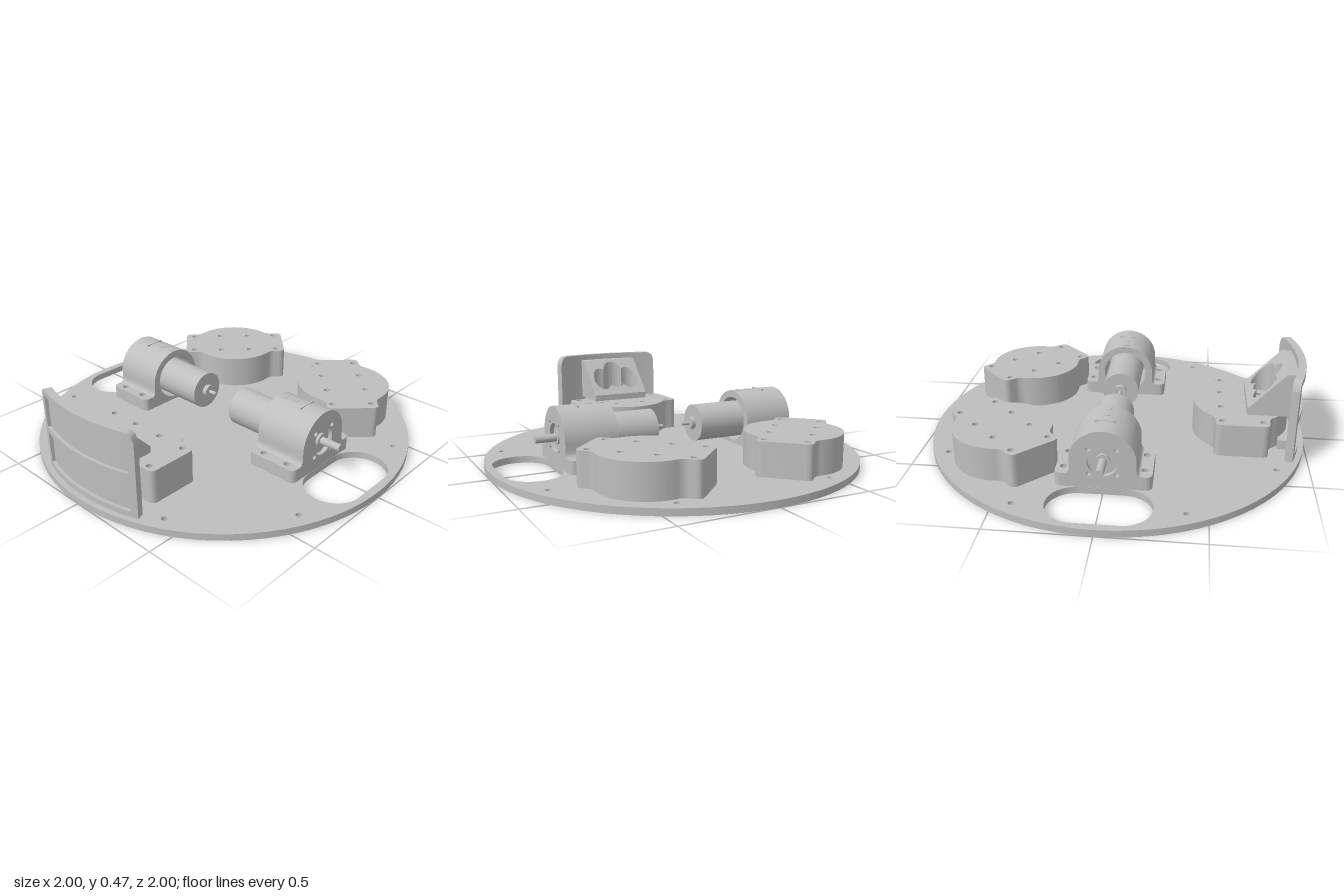
import * as THREE from 'three';
import { toCreasedNormals } from 'three/addons/utils/BufferGeometryUtils.js';

const grey = new THREE.MeshStandardMaterial({ color: 0xbebebe, side: THREE.DoubleSide });
grey.name = 'plain grey';

function part(parent, name, geo) {
  const m = new THREE.Mesh(geo, grey);
  m.name = name;
  parent.add(m);
  return m;
}
function addHole(shape, x, y, r) {
  shape.holes.push(new THREE.Path().absarc(x, y, r, 0, Math.PI * 2, true));
}
function extrude(shape, depth, seg = 16) {
  return new THREE.ExtrudeGeometry(shape, { depth, bevelEnabled: false, curveSegments: seg });
}
// plan shape (x, -z) raised between two heights
function slab(shape, y0, y1, seg) {
  return toCreasedNormals(extrude(shape, y1 - y0, seg).rotateX(-Math.PI / 2).translate(0, y0, 0), 0.5);
}
// cylinder lying along z
function rod(r, z0, z1, y) {
  return new THREE.CylinderGeometry(r, r, z1 - z0, 40).rotateX(Math.PI / 2).translate(0, y, (z0 + z1) / 2);
}
function roundRect(x0, x1, y0, y1, r, target = new THREE.Shape()) {
  target.moveTo(x0 + r, y0);
  target.absarc(x1 - r, y0 + r, r, -Math.PI / 2, 0);
  target.absarc(x1 - r, y1 - r, r, 0, Math.PI / 2);
  target.absarc(x0 + r, y1 - r, r, Math.PI / 2, Math.PI);
  target.absarc(x0 + r, y0 + r, r, Math.PI, Math.PI * 1.5);
  target.closePath();
  return target;
}

const DECK = 0.035, POD_TOP = 0.21, SOCKET = 0.235;
// position and turn of the three wheel pods
const pods = [[-0.66, 0, 0], [0.537, -0.41, Math.PI / 4], [0.537, 0.41, -Math.PI / 4]];
const signs = [[1, 1], [1, -1], [-1, 1], [-1, -1]];

function makeBase() {
  const s = new THREE.Shape().absarc(0, 0, 1, 0, Math.PI * 2);
  for (const d of [-1, 1]) {
    const c = d * 0.813;
    s.holes.push(roundRect(-0.25, 0.25, c - 0.145, c + 0.145, 0.144, new THREE.Path()));
  }
  for (const [a, b] of signs) {
    addHole(s, a * 0.4, b * 0.835, 0.015);
    addHole(s, a * 0.83, b * 0.412, 0.015);
    for (const z of [0.455, 0.6]) addHole(s, a * 0.195, b * z, 0.016);
  }
  for (const [x, z, t] of pods) {
    addHole(s, x, -z, SOCKET);
    for (const [a, b] of signs) {
      const px = a * 0.103, pz = b * 0.25;
      addHole(s, x + px * Math.cos(t) + pz * Math.sin(t), -(z - px * Math.sin(t) + pz * Math.cos(t)), 0.016);
    }
  }
  return slab(s, 0, DECK, 40);
}

// round pod outline with a square tab at each end
function podOutline() {
  const s = new THREE.Shape(), A = 0.85;
  for (const d of [1, -1]) {
    s.absarc(0, 0, 0.25, d > 0 ? -A : Math.PI - A, d > 0 ? A : Math.PI + A);
    s.quadraticCurveTo(d * 0.137, d * 0.21, d * 0.137, d * 0.235);
    s.lineTo(d * 0.137, d * 0.265);
    s.quadraticCurveTo(d * 0.137, d * 0.3, d * 0.102, d * 0.3);
    s.lineTo(-d * 0.102, d * 0.3);
    s.quadraticCurveTo(-d * 0.137, d * 0.3, -d * 0.137, d * 0.265);
    s.lineTo(-d * 0.137, d * 0.235);
    s.quadraticCurveTo(-d * 0.137, d * 0.21, -d * 0.25 * Math.cos(A), d * 0.25 * Math.sin(A));
  }
  for (const [a, b] of signs) addHole(s, a * 0.103, b * 0.25, 0.016);
  return s;
}
function makePod() {
  const g = new THREE.Group();
  const wall = podOutline(), lid = podOutline();
  addHole(wall, 0, 0, SOCKET);
  for (const [a, b] of signs) addHole(lid, a * 0.106, b * 0.087, 0.016);
  part(g, 'podWall', slab(wall, DECK, 0.195, 24));
  part(g, 'podLid', slab(lid, 0.195, POD_TOP, 24));
  return g;
}

function archShape() {
  const s = new THREE.Shape();
  s.moveTo(-0.16, DECK);
  s.lineTo(0.16, DECK);
  s.lineTo(0.178, 0.104);
  s.quadraticCurveTo(0.16, 0.11, 0.16, 0.14);
  s.lineTo(0.16, 0.175);
  s.absarc(0, 0.175, 0.16, 0, Math.PI);
  s.lineTo(-0.16, 0.14);
  s.quadraticCurveTo(-0.16, 0.11, -0.178, 0.104);
  s.closePath();
  return s;
}
function makeMotor() {
  const g = new THREE.Group(), y = 0.175;
  const body = archShape(), face = archShape();
  addHole(body, 0, y, 0.122);
  addHole(face, 0, y, 0.074);
  for (const [a, b] of signs) addHole(face, a * 0.066, y + b * 0.066, 0.012);
  part(g, 'motorClamp', toCreasedNormals(extrude(body, 0.235, 24).translate(0, 0, 0.385), 0.5));
  part(g, 'motorClampFace', toCreasedNormals(extrude(face, 0.047, 24).translate(0, 0, 0.62), 0.5));
  // mounting feet with screw holes
  for (const d of [-1, 1]) {
    const foot = roundRect(Math.min(d * 0.135, d * 0.233), Math.max(d * 0.135, d * 0.233), -0.667, -0.385, 0.03);
    for (const z of [0.455, 0.6]) addHole(foot, d * 0.195, -z, 0.018);
    part(g, 'motorFoot', slab(foot, DECK, 0.105));
  }
  part(g, 'motorBody', rod(0.1, 0.13, 0.645, y));
  part(g, 'rearBearing', rod(0.034, 0.105, 0.13, y));
  part(g, 'rearShaft', rod(0.01, 0.06, 0.105, y));
  part(g, 'frontBearing', rod(0.035, 0.645, 0.66, y));
  part(g, 'driveShaft', rod(0.02, 0.645, 0.77, y));
  // set screws and marker bar on the crown
  for (const z of [0.42, 0.485]) {
    part(g, 'setScrew', new THREE.CylinderGeometry(0.018, 0.018, 0.02, 20).translate(0, 0.327, z));
  }
  part(g, 'crownBar', new THREE.BoxGeometry(0.1, 0.02, 0.008).translate(0, 0.327, 0.555));
  return g;
}

// upright panel bent round the deck centre, with rounded upper corners
const HALF = 0.335, TOP = 0.472, CORNER = 0.05;
function bent(s0, s1, y0, y1, r0, r1) {
  const geo = new THREE.BoxGeometry(1, 1, 1, Math.ceil((s1 - s0) / 0.01), 1, 1);
  const p = geo.attributes.position;
  for (let i = 0; i < p.count; i++) {
    const s = s0 + (p.getX(i) + 0.5) * (s1 - s0);
    const over = Math.max(0, Math.abs(s) - (HALF - CORNER));
    const limit = TOP - CORNER + Math.sqrt(Math.max(0, CORNER ** 2 - over ** 2));
    const y = p.getY(i) > 0 ? Math.min(y1, limit) : y0;
    const r = p.getZ(i) > 0 ? r1 : r0, a = s / 0.96;
    p.setXYZ(i, -r * Math.cos(a), y, r * Math.sin(a));
  }
  geo.computeVertexNormals();
  return geo;
}
function makeBumper() {
  const g = new THREE.Group();
  part(g, 'bumperPanel', bent(-HALF, HALF, DECK, TOP, 0.932, 0.955));
  const rails = [
    [-HALF, -0.3, DECK, TOP], [0.3, HALF, DECK, TOP],
    [-0.3, 0.3, DECK, 0.065], [-0.3, 0.3, 0.235, 0.265], [-0.3, 0.3, 0.44, TOP],
  ];
  for (const r of rails) part(g, 'bumperRail', bent(...r, 0.955, 0.972));
  // foot behind the panel
  part(g, 'bumperFoot', new THREE.BoxGeometry(0.075, 0.05, 0.4).translate(-0.8875, 0.06, 0));
  return g;
}

// sloped sensor housing with a pocket made of three overlapping circles
function makeHousing() {
  const g = new THREE.Group(), cx = -0.79;
  const circles = [[0, 0, 0.068], [0.02, 0.088, 0.055], [0.02, -0.088, 0.055]];
  const s = new THREE.Shape();
  s.moveTo(-0.87, -0.17);
  s.lineTo(-0.685, -0.17);
  s.lineTo(-0.685, 0.17);
  s.lineTo(-0.87, 0.17);
  s.closePath();
  const pts = [];
  for (let i = 0; i < 96; i++) {
    const a = -i / 96 * Math.PI * 2, ux = Math.cos(a), uy = Math.sin(a);
    const d = Math.max(...circles.map(([x, y, r]) => {
      const along = x * ux + y * uy, q = r * r - (x * uy - y * ux) ** 2;
      return q > 0 ? along + Math.sqrt(q) : 0;
    }));
    pts.push(new THREE.Vector2(cx + d * ux, d * uy));
  }
  s.holes.push(new THREE.Path(pts));
  const geo = extrude(s, 1).rotateX(-Math.PI / 2);
  const p = geo.attributes.position;
  for (let i = 0; i < p.count; i++) {
    const slope = 0.245 + (-0.685 - p.getX(i)) / 0.185 * 0.195;
    p.setY(i, p.getY(i) > 0.5 ? slope : POD_TOP);
  }
  part(g, 'sensorWedge', toCreasedNormals(geo, 0.5));
  part(g, 'sensorBack', new THREE.BoxGeometry(0.06, 0.23, 0.34).translate(-0.9, 0.325, 0));
  return g;
}

export function createModel() {
  const model = new THREE.Group();
  model.name = 'robotChassis';
  part(model, 'basePlate', makeBase());
  for (const [x, z, turn] of pods) {
    const pod = makePod();
    pod.name = 'wheelPod';
    pod.position.set(x, 0, z);
    pod.rotation.y = turn;
    model.add(pod);
  }
  for (const turn of [0, Math.PI]) {
    const motor = makeMotor();
    motor.name = 'motor';
    motor.rotation.y = turn;
    model.add(motor);
  }
  const bumper = makeBumper();
  bumper.name = 'bumper';
  const housing = makeHousing();
  housing.name = 'sensorHousing';
  model.add(bumper, housing);
  return model;
}
